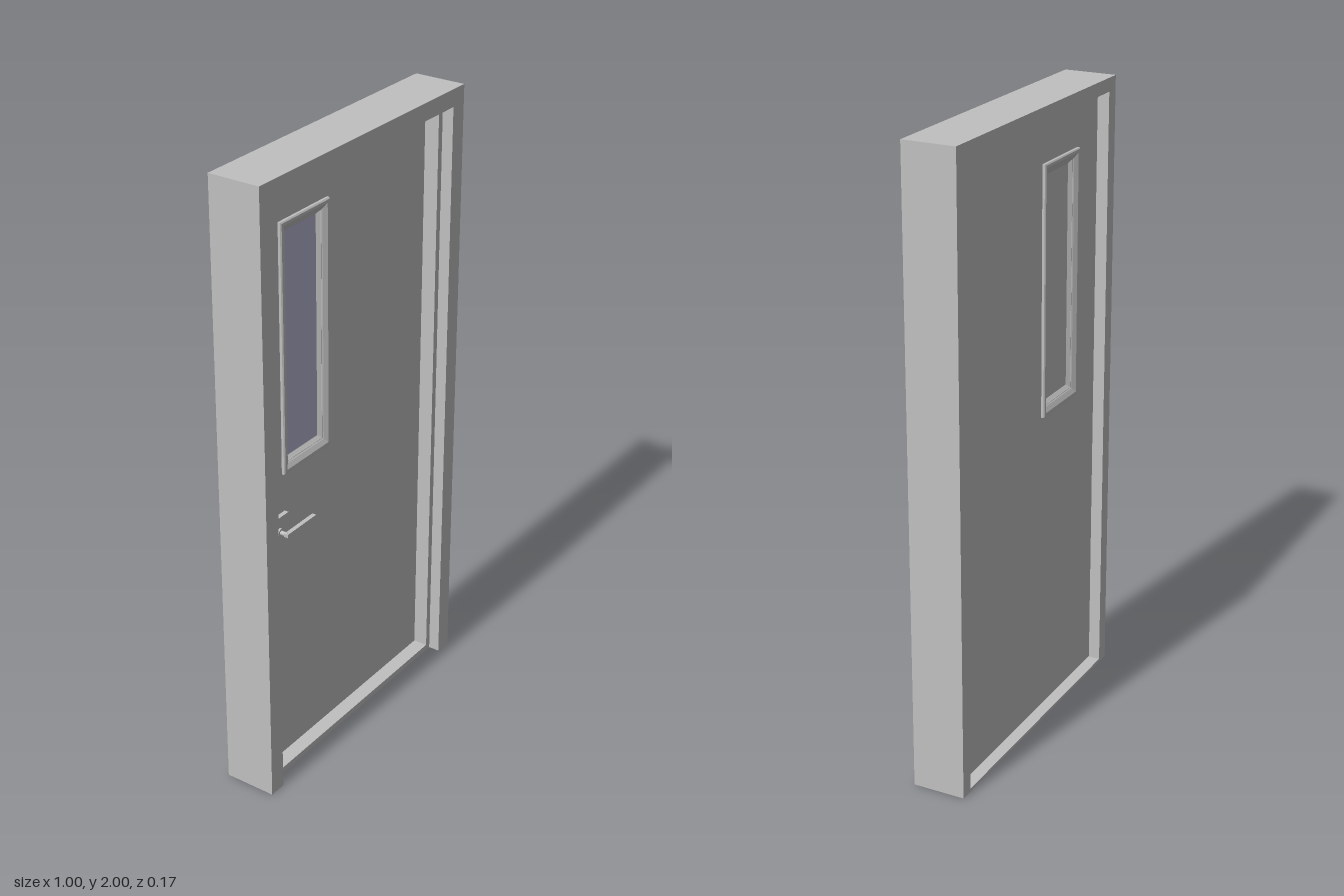
import * as THREE from 'three';

export function createModel() {
  const model = new THREE.Group();
  const mat = (name, color) => Object.assign(new THREE.MeshStandardMaterial({ color }), { name });
  const grey = mat('painted steel grey', 0xc0c0c0);
  const glass = mat('glass blue', 0xb4b4cf);

  const add = (name, geometry, x = 0, y = 0, z = 0, material = grey, parent = model) => {
    const mesh = new THREE.Mesh(geometry, material);
    mesh.name = name;
    mesh.position.set(x, y, z);
    parent.add(mesh);
    return mesh;
  };
  const rect = (Type, x0, x1, y0, y1) => {
    const p = new Type();
    p.moveTo(x0, y0).lineTo(x1, y0).lineTo(x1, y1).lineTo(x0, y1).closePath();
    return p;
  };
  const extrude = (shape, depth) => new THREE.ExtrudeGeometry(shape, { depth, bevelEnabled: false });
  const ring = (outer, inner, depth) => {
    const s = rect(THREE.Shape, ...outer);
    s.holes.push(rect(THREE.Path, ...inner));
    return extrude(s, depth);
  };

  // Frame: open-bottomed casing in front, stop in the middle, rebate for the door behind
  const casing = new THREE.Shape();
  casing.moveTo(-0.5, 0).lineTo(-0.443, 0).lineTo(-0.443, 1.945).lineTo(0.443, 1.945);
  casing.lineTo(0.443, 0).lineTo(0.5, 0).lineTo(0.5, 2).lineTo(-0.5, 2).closePath();
  const outside = [-0.5, 0.5, 0, 2];
  add('frameCasing', extrude(casing, 0.037), 0, 0, 0.048);
  add('frameStop', ring(outside, [-0.423, 0.423, 0.02, 1.925], 0.048));
  add('frameRebate', ring(outside, [-0.455, 0.455, 0.01, 1.957], 0.085), 0, 0, -0.085);

  // Door leaf with window opening
  const wx = -0.194, wy = 1.418, ow = 0.116, oh = 0.397, iw = 0.076, ih = 0.355;
  add('doorLeaf', ring([-0.45, 0.45, 0.014, 1.952],
    [wx - iw - 0.01, wx + iw + 0.01, wy - ih - 0.01, wy + ih + 0.01], 0.048), 0, 0, -0.049);

  // Window trim: rectangular loops of a profile (inset, z), rising from the leaf and sloping to the glass
  const trimGeometry = () => {
    const profile = [[0, 0], [0, 0.008], [0.004, 0.011], [0.012, 0.011], [0.026, 0.003], [0.04, -0.011]];
    const corners = [[-1, -1], [1, -1], [1, 1], [-1, 1]];
    const point = ([inset, z], [sx, sy]) =>
      [sx * (ow - inset), sy * (oh - inset * (oh - ih) / (ow - iw)), z];
    const pos = [];
    for (let i = 0; i < profile.length - 1; i++) {
      for (let k = 0; k < 4; k++) {
        const c = corners[k], d = corners[(k + 1) % 4];
        const a0 = point(profile[i], c), b0 = point(profile[i], d);
        const a1 = point(profile[i + 1], c), b1 = point(profile[i + 1], d);
        pos.push(...a0, ...b0, ...b1, ...a0, ...b1, ...a1);
      }
    }
    const g = new THREE.BufferGeometry();
    g.setAttribute('position', new THREE.Float32BufferAttribute(pos, 3));
    g.computeVertexNormals();
    return g;
  };
  add('windowTrimFront', trimGeometry(), wx, wy, -0.001);
  add('windowTrimBack', trimGeometry(), wx, wy, -0.049).rotation.y = Math.PI;
  add('windowGlass', new THREE.BoxGeometry(iw * 2 + 0.006, ih * 2 + 0.006, 0.005), wx, wy, -0.0145, glass);
  add('windowBackPane', new THREE.BoxGeometry(iw * 2 + 0.006, ih * 2 + 0.006, 0.005), wx, wy, -0.0355);

  // Lever handle on a square plate
  const handle = new THREE.Group();
  handle.name = 'leverHandle';
  handle.position.set(-0.345, 0.846, 0);
  model.add(handle);
  add('handlePlate', new THREE.BoxGeometry(0.092, 0.094, 0.014), 0, 0, 0.006, grey, handle);
  add('handleRose', new THREE.CylinderGeometry(0.013, 0.013, 0.008, 24), 0, 0, 0.016, grey, handle).rotation.x = Math.PI / 2;
  add('handleSpindle', new THREE.CylinderGeometry(0.007, 0.007, 0.03, 16), 0, 0, 0.028, grey, handle).rotation.x = Math.PI / 2;
  add('handleLever', new THREE.BoxGeometry(0.142, 0.011, 0.014), 0.064, 0, 0.042, grey, handle);

  // Three hinges on the back, each a knuckle with end caps and a thin leaf
  for (const y of [0.285, 0.995, 1.7]) {
    const hinge = new THREE.Group();
    hinge.name = 'hinge';
    hinge.position.set(0.45, y, -0.057);
    model.add(hinge);
    add('hingeKnuckle', new THREE.CylinderGeometry(0.008, 0.008, 0.15, 16), 0, 0, 0, grey, hinge);
    for (const s of [-1, 1]) {
      add('hingeCap', new THREE.CylinderGeometry(0.006, 0.006, 0.006, 16), 0, s * 0.078, 0, grey, hinge);
    }
    add('hingeLeaf', new THREE.BoxGeometry(0.004, 0.15, 0.05), 0.004, 0, 0.025, grey, hinge);
  }
  return model;
}
